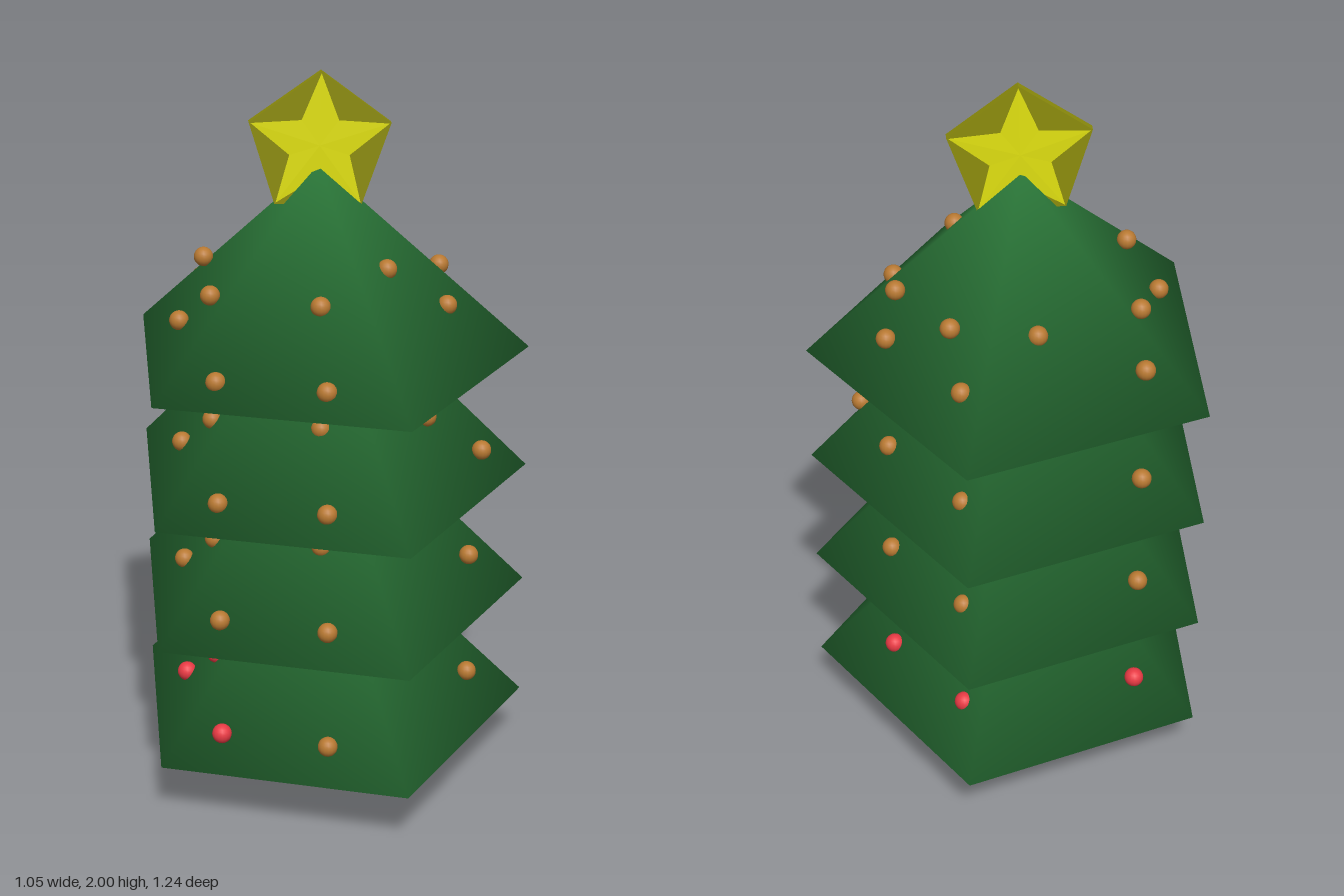
import * as THREE from 'three';

const CX = -0.057; // trunk axis

const material = (color, extra = {}) => new THREE.MeshStandardMaterial({ color, ...extra });

function add(parent, name, geometry, mat, x, y, z) {
  const mesh = new THREE.Mesh(geometry, mat);
  mesh.name = name;
  mesh.position.set(x, y, z);
  parent.add(mesh);
  return mesh;
}

// Five-sided cone with a hollowed underside, shaded smoothly across its rim
function tierGeometry(height, hollow) {
  const positions = [0, height, 0, 0, hollow, 0];
  const normals = [0, 1, 0, 0, -1, 0];
  const index = [];
  for (let i = 0; i < 5; i++) {
    const a = (i / 5) * Math.PI * 2;
    positions.push(0.582 * Math.cos(a), 0, 0.652 * Math.sin(a));
    normals.push(0.92 * Math.cos(a), -0.38, 0.92 * Math.sin(a));
    const p = 2 + i;
    const q = 2 + ((i + 1) % 5);
    index.push(0, q, p, 1, p, q);
  }
  const g = new THREE.BufferGeometry();
  g.setAttribute('position', new THREE.Float32BufferAttribute(positions, 3));
  g.setAttribute('normal', new THREE.Float32BufferAttribute(normals, 3));
  g.setIndex(index);
  return g;
}

// Regular outline with alternating radii, first point up
function outline(count, radii) {
  return Array.from({ length: count }, (_, i) => {
    const a = Math.PI / 2 + (i / count) * Math.PI * 2;
    const r = radii[i % radii.length];
    return new THREE.Vector2(r * Math.cos(a), r * Math.sin(a));
  });
}

// Thin two-sided star whose faces rise from the rim to a central peak
function starGeometry(points, rimZ, peakZ) {
  const tris = [];
  points.forEach((a, i) => {
    const b = points[(i + 1) % points.length];
    tris.push(0, 0, peakZ, a.x, a.y, rimZ, b.x, b.y, rimZ);
    tris.push(0, 0, -peakZ, b.x, b.y, -rimZ, a.x, a.y, -rimZ);
  });
  const g = new THREE.BufferGeometry();
  g.setAttribute('position', new THREE.Float32BufferAttribute(tris, 3));
  g.computeVertexNormals();
  return g;
}

export function createModel() {
  const tree = new THREE.Group();
  tree.name = 'decoratedTree';

  const green = material(0x2c7a3a);
  const brown = material(0x2e2208);
  const yellow = material(0xe0e010, { flatShading: true });
  const darkYellow = material(0x8c8c0c, { flatShading: true });
  const orange = material(0xb87932);
  const red = material(0xe83a44);

  // Five-sided trunk reaching up into the lowest tier
  const trunk = new THREE.CylinderGeometry(0.066, 0.066, 0.4, 5, 1, false, Math.PI / 2);
  add(tree, 'trunk', trunk, brown, CX, 0.2, 0);

  // Foliage tiers: base height and cone height
  const tiers = [[0.16, 0.6], [0.51, 0.6], [0.86, 0.6], [1.21, 0.54]];
  tiers.forEach(([base, height], i) => {
    add(tree, `foliageTier${i + 1}`, tierGeometry(height, 0.19), green, CX, base, 0);
  });

  // Baubles shared by all tiers: x, z, height above the tier base
  const shared = [
    [-0.36, 0.15, 0.225], [-0.44, 0.05, 0.125], [-0.36, -0.2, 0.225],
    [-0.36, -0.34, 0.125], [-0.08, -0.31, 0.225], [0.125, -0.41, 0.125],
    [0.145, -0.26, 0.225], [0.31, -0.145, 0.125], [0.28, -0.065, 0.225],
  ];
  // Right-hand baubles that shift with the tier: x, y, z
  const rightHand = [
    [[0.185, 0.405, 0.17], [0.35, 0.282, 0.12]],
    [[0.185, 0.765, 0.17], [0.35, 0.642, 0.12]],
    [[0.22, 1.078, 0.17], [0.38, 0.955, 0.12]],
    [[0.11, 1.498, 0.165], [0.28, 1.375, 0.11]],
  ];
  const ball = new THREE.SphereGeometry(0.027, 16, 12);
  tiers.forEach(([base], i) => {
    const baubles = new THREE.Group();
    baubles.name = `baublesTier${i + 1}`;
    tree.add(baubles);
    const accent = i === 0 ? red : orange;
    for (const [x, z, h] of shared) add(baubles, 'bauble', ball, accent, x, base + h, z);
    for (const [x, y, z] of rightHand[i]) add(baubles, 'bauble', ball, orange, x, y, z);
    // Front baubles climb in slightly smaller steps than the tiers
    const low = 0.252 + 0.34 * i;
    add(baubles, 'bauble', ball, accent, -0.36, low, 0.375);
    add(baubles, 'bauble', ball, orange, -0.08, low, 0.48);
    add(baubles, 'bauble', ball, orange, -0.08, low + 0.173, 0.305);
  });

  // Tree topper: five-sided plate with a raised star on both faces
  const topper = new THREE.Group();
  topper.name = 'topStar';
  topper.position.set(-0.055, 1.8, 0.003);
  topper.rotation.z = -0.03;
  const plate = new THREE.ExtrudeGeometry(new THREE.Shape(outline(5, [0.2])), { depth: 0.022, bevelEnabled: false });
  add(topper, 'starPlate', plate, darkYellow, 0, 0, -0.011);
  add(topper, 'starRelief', starGeometry(outline(10, [0.195, 0.085]), 0.012, 0.014), yellow, 0, 0, 0);
  tree.add(topper);

  return tree;
}
